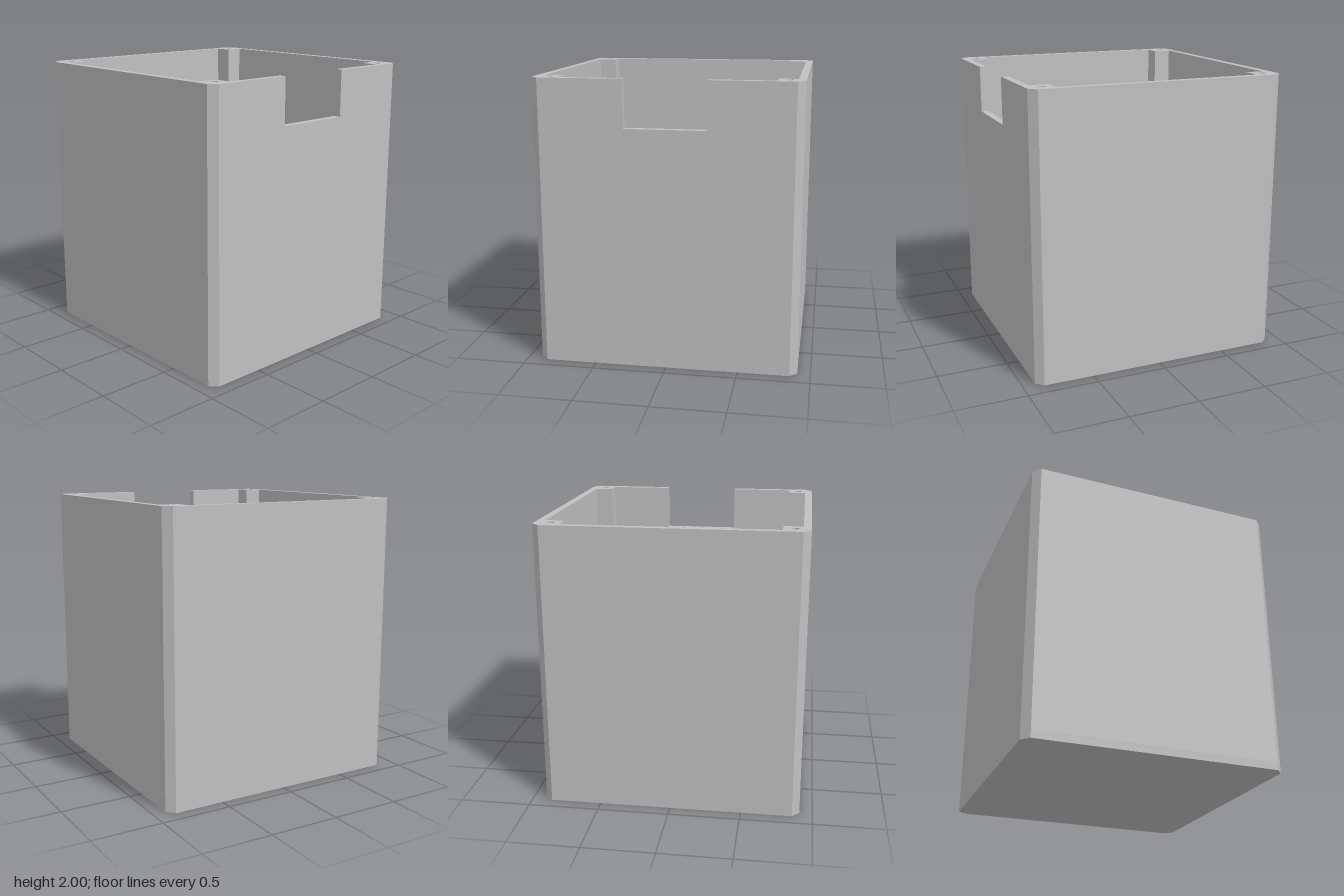
import * as THREE from 'three';

const OUT = 0.91, CH = 0.052, IN = 0.858, POST = 0.728; // half sizes in plan
const HOLE = 0.803, HOLE_R = 0.027;
const NOTCH = 0.278, NOTCH_Y = 1.672, FLOOR = 0.055, TOP = 2;

const shapeOf = (pts) => new THREE.Shape(pts.map(([x, y]) => new THREE.Vector2(x, y)));

// Plan shape (y = -z) raised from y0 to y1
function raise(shape, y0, y1) {
  const g = new THREE.ExtrudeGeometry(shape, { depth: y1 - y0, bevelEnabled: false, curveSegments: 24 });
  return g.rotateX(-Math.PI / 2).translate(0, y0, 0);
}

// Square corners, counter-clockwise from front +x
const corners = [[1, -1], [1, 1], [-1, 1], [-1, -1]];

// Each corner's points, ordered counter-clockwise
function ring(a, b, inner) {
  return corners.flatMap(([sx, sy], i) => {
    const p = [[sx * b, sy * a], [sx * a, sy * b]];
    if (inner) p.splice(1, 0, [sx * b, sy * b]);
    return i % 2 ? p.reverse() : p;
  });
}

export function createModel() {
  const group = new THREE.Group();
  const grey = new THREE.MeshStandardMaterial({ color: 0xc0c0c0 });
  grey.name = 'grey';
  const add = (name, geometry) => {
    const mesh = new THREE.Mesh(geometry, grey);
    mesh.name = name;
    group.add(mesh);
  };

  const outer = ring(OUT, OUT - CH, false);
  const inner = ring(IN, POST, true);

  // Floor with chamfered corners
  add('floor', raise(shapeOf(outer), 0, FLOOR));

  // Walls and corner posts, open at the middle of the front
  const walls = shapeOf([
    [NOTCH, -OUT], ...outer, [-NOTCH, -OUT],
    [-NOTCH, -IN], ...inner.reverse(), [NOTCH, -IN],
  ]);
  for (const [sx, sy] of corners) {
    walls.holes.push(new THREE.Path().absarc(sx * HOLE, sy * HOLE, HOLE_R, 0, Math.PI * 2, true));
  }
  add('wallsAndScrewPosts', raise(walls, FLOOR, TOP));

  // Front wall below the notch
  const panel = new THREE.BoxGeometry(NOTCH * 2, NOTCH_Y - FLOOR, OUT - IN);
  panel.translate(0, (NOTCH_Y + FLOOR) / 2, (OUT + IN) / 2);
  add('frontPanelBelowNotch', panel);

  return group;
}
